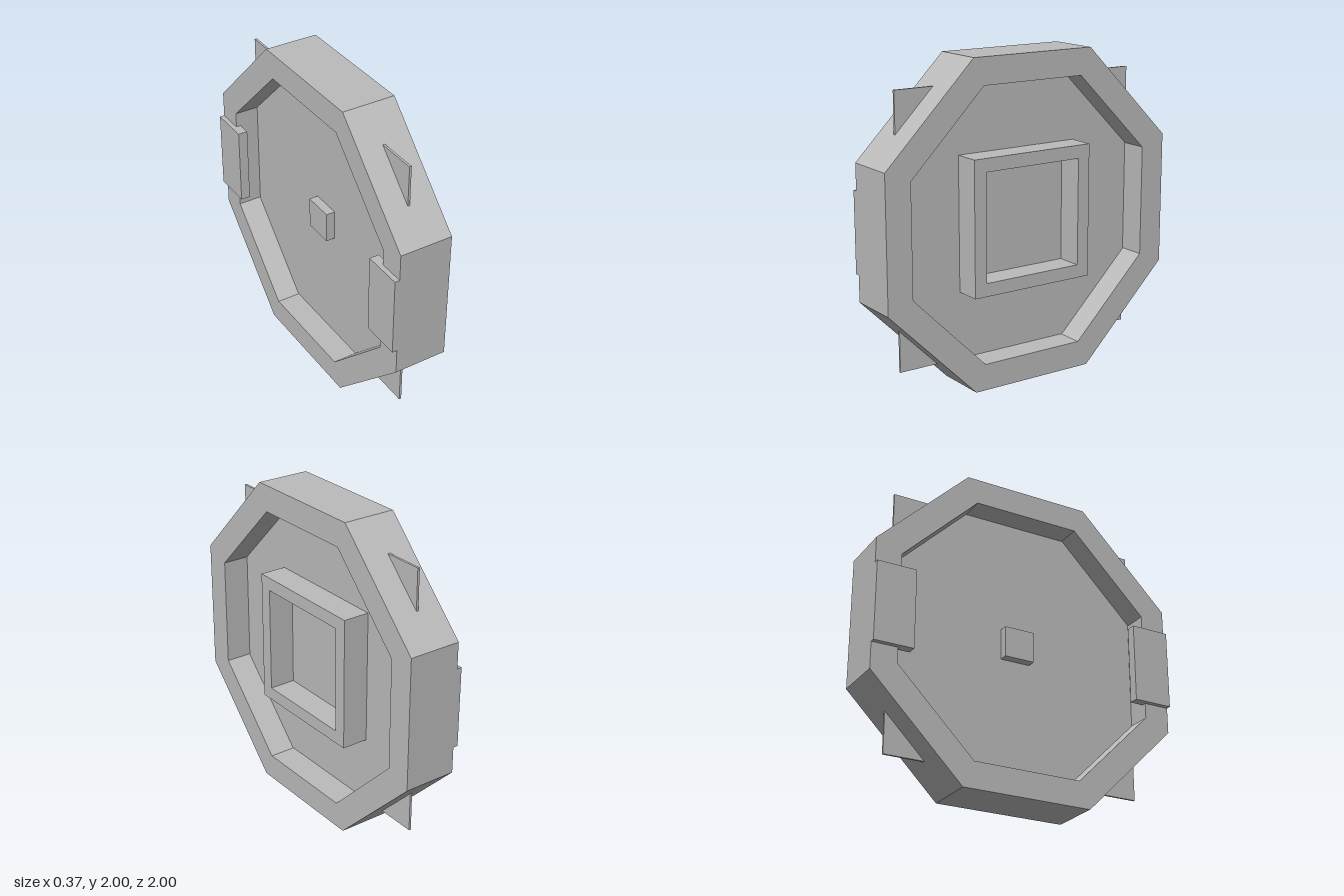
import * as THREE from 'three';

// Closed outline from points
const trace = (path, pts) => {
  pts.forEach(([x, y], i) => (i ? path.lineTo(x, y) : path.moveTo(x, y)));
  path.closePath();
  return path;
};

// Octagon with flat sides: a = half width, b = half side length
const octagon = (a, b) => [[a, -b], [a, b], [b, a], [-b, a], [-a, b], [-a, -b], [-b, -a], [b, -a]];
const square = (a) => [[a, -a], [a, a], [-a, a], [-a, -a]];

export function createModel() {
  const model = new THREE.Group();
  model.name = 'octagonalPanel';
  const grey = new THREE.MeshStandardMaterial({ color: 0xbbbbbb });
  grey.name = 'light grey';

  const add = (name, geometry) => {
    const mesh = new THREE.Mesh(geometry, grey);
    mesh.name = name;
    model.add(mesh);
  };

  // Frame extruded along x, centred at height 1
  const ring = (name, outer, inner, x0, x1) => {
    const shape = trace(new THREE.Shape(), outer);
    shape.holes.push(trace(new THREE.Path(), inner));
    const g = new THREE.ExtrudeGeometry(shape, { depth: x1 - x0, bevelEnabled: false });
    add(name, g.rotateY(Math.PI / 2).translate(x0, 1, 0));
  };

  // Box given by its x range, height, depth and z centre
  const box = (name, x0, x1, h, d, z = 0) =>
    add(name, new THREE.BoxGeometry(x1 - x0, h, d).translate((x0 + x1) / 2, 1, z));

  // Outer rim
  ring('octagonRim', octagon(1, 0.414), octagon(0.836, 0.346), -0.152, 0.182);

  // Thin square plate, its corners poke through the rim
  box('squarePlate', 0, 0.014, 1.667, 1.667);

  // Square frame on the left face
  ring('squareFrame', square(0.416), square(0.334), 0.01, 0.182);

  // Small block and two edge clips on the right face
  box('centreBlock', -0.057, 0.005, 0.195, 0.195);
  for (const side of [1, -1]) {
    box(side > 0 ? 'frontClip' : 'backClip', -0.183, -0.122, 0.5, 0.25, side * 0.875);
  }

  return model;
}
